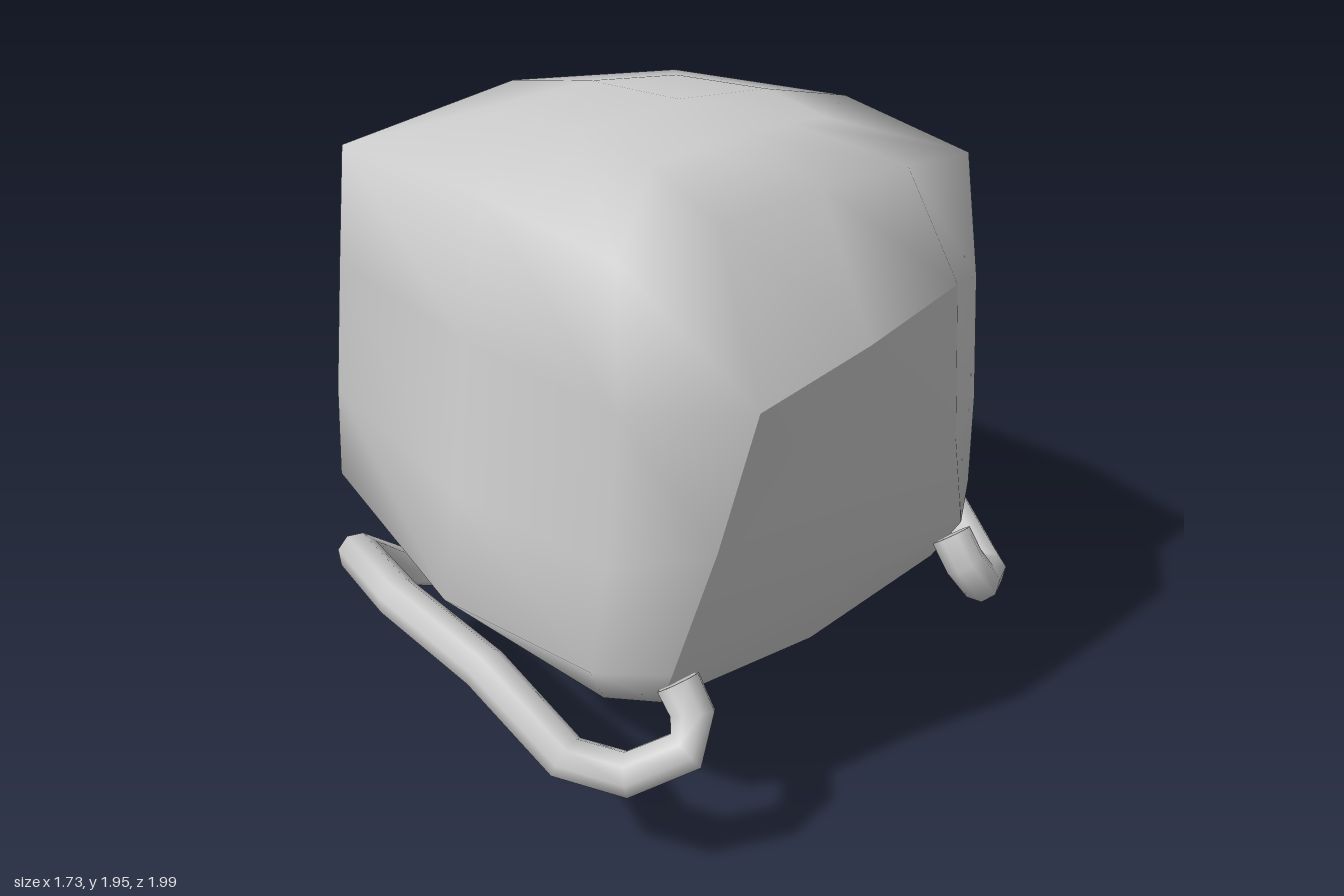
import * as THREE from 'three';

// Half outlines (z >= 0) of the body from top to bottom; each runs from the
// middle of the -x side, round the +z side, to the middle of the +x side.
const HALF_RINGS = [
  [[-.73, 1.86, 0], [-.69, 1.79, .65], [.06, 1.85, .69], [.58, 1.8, .65], [.61, 1.83, .35], [.62, 1.85, 0]],
  [[-.80, 1.45, 0], [-.72, 1.42, .68], [.06, 1.45, .76], [.62, 1.42, .69], [.84, 1.42, .42], [.82, 1.47, 0]],
  [[-.865, 1.02, 0], [-.74, 1, .72], [.06, 1, .82], [.62, 1, .74], [.76, 1, .48], [.775, 1, 0]],
  [[-.82, .7, 0], [-.74, .7, .74], [.06, .68, .88], [.6, .68, .78], [.72, .65, .6], [.74, .68, 0]],
  [[-.70, .5, 0], [-.66, .51, .6], [.06, .5, .72], [.5, .48, .66], [.64, .5, .57], [.66, .46, 0]],
];

const material = new THREE.MeshStandardMaterial({ color: 0xcccccc });

const mirrorZ = ([x, y, z]) => [x, y, -z];

function surface(name, points, index) {
  const geometry = new THREE.BufferGeometry();
  geometry.setAttribute('position', new THREE.Float32BufferAttribute(points.flat(), 3));
  geometry.setIndex(index);
  geometry.computeVertexNormals();
  const mesh = new THREE.Mesh(geometry, material);
  mesh.name = name;
  return mesh;
}

// Bulging box body, with a separate front panel so its border stays sharp
function createBody() {
  const rings = HALF_RINGS.map(h => [...h, ...h.slice(1, 5).reverse().map(mirrorZ)]);
  rings[1][6] = [.79, 1.53, -.38]; // uneven top corner of the panel
  const top = [.06, 1.965, 0], bottom = [.1, .45, 0];

  // extra ring that rounds the top
  rings.unshift(rings[0].map(p => p.map((v, k) => (v + top[k]) / 2 + (k === 1 ? .025 : 0))));

  const n = rings[0].length;
  const points = [...rings.flat(), top, bottom];
  const skin = [], panel = [];
  const topId = points.length - 2, bottomId = points.length - 1;
  for (let j = 0; j < n; j++) {
    const k = (j + 1) % n;
    for (let r = 0; r < rings.length - 1; r++) {
      const a = r * n + j, b = a + n, c = (r + 1) * n + k, d = r * n + k;
      const isPanel = r >= 2 && (j === 4 || j === 5);
      (isPanel ? panel : skin).push(a, b, c, a, c, d);
    }
    const last = (rings.length - 1) * n;
    skin.push(topId, j, k, bottomId, last + k, last + j);
  }
  const body = new THREE.Group();
  body.name = 'body';
  body.add(surface('shell', points, skin), surface('sidePanel', points, panel));
  return body;
}

// Path with straight stretches; the tube gets one ring per bend
class Polyline extends THREE.Curve {
  constructor(points) {
    super();
    this.points = points;
  }
  getPoint(t, target = new THREE.Vector3()) {
    const s = THREE.MathUtils.clamp(t, 0, 1) * (this.points.length - 1);
    const i = Math.min(Math.floor(s), this.points.length - 2);
    return target.lerpVectors(this.points[i], this.points[i + 1], s - i);
  }
  getPointAt(t, target) { return this.getPoint(t, target); }
  getTangentAt(t, target) { return this.getTangent(t, target); }
}

const ARM_PATH = [
  [.14, .14, .05], [-.33, .08, .25], [-.58, .28, .42], [-.58, .39, .66], [-.47, .57, .85],
  [-.1, .63, .935], [.3, .595, .915], [.57, .42, .85], [.72, .405, .76],
  [.8, .46, .62], [.77, .54, .57], [.71, .61, .57],
];

// Bent tubular arm with closed ends
function createArm(name, path) {
  const radius = .065, sides = 8;
  const points = path.map(p => new THREE.Vector3(...p));
  const arm = new THREE.Group();
  arm.name = name;
  const tube = new THREE.Mesh(
    new THREE.TubeGeometry(new Polyline(points), points.length - 1, radius, sides, false), material);
  tube.name = 'armTube';
  arm.add(tube);
  const last = points.length - 1;
  for (const [end, next] of [[0, 1], [last, last - 1]]) {
    const cap = new THREE.Mesh(new THREE.CircleGeometry(radius, sides), material);
    cap.name = 'armEnd';
    cap.position.copy(points[end]);
    cap.lookAt(points[end].clone().multiplyScalar(2).sub(points[next]));
    arm.add(cap);
  }
  return arm;
}

export function createModel() {
  const model = new THREE.Group();
  model.name = 'model';
  model.add(
    createBody(),
    createArm('frontArm', ARM_PATH),
    createArm('backArm', ARM_PATH.map(mirrorZ)),
  );
  return model;
}
